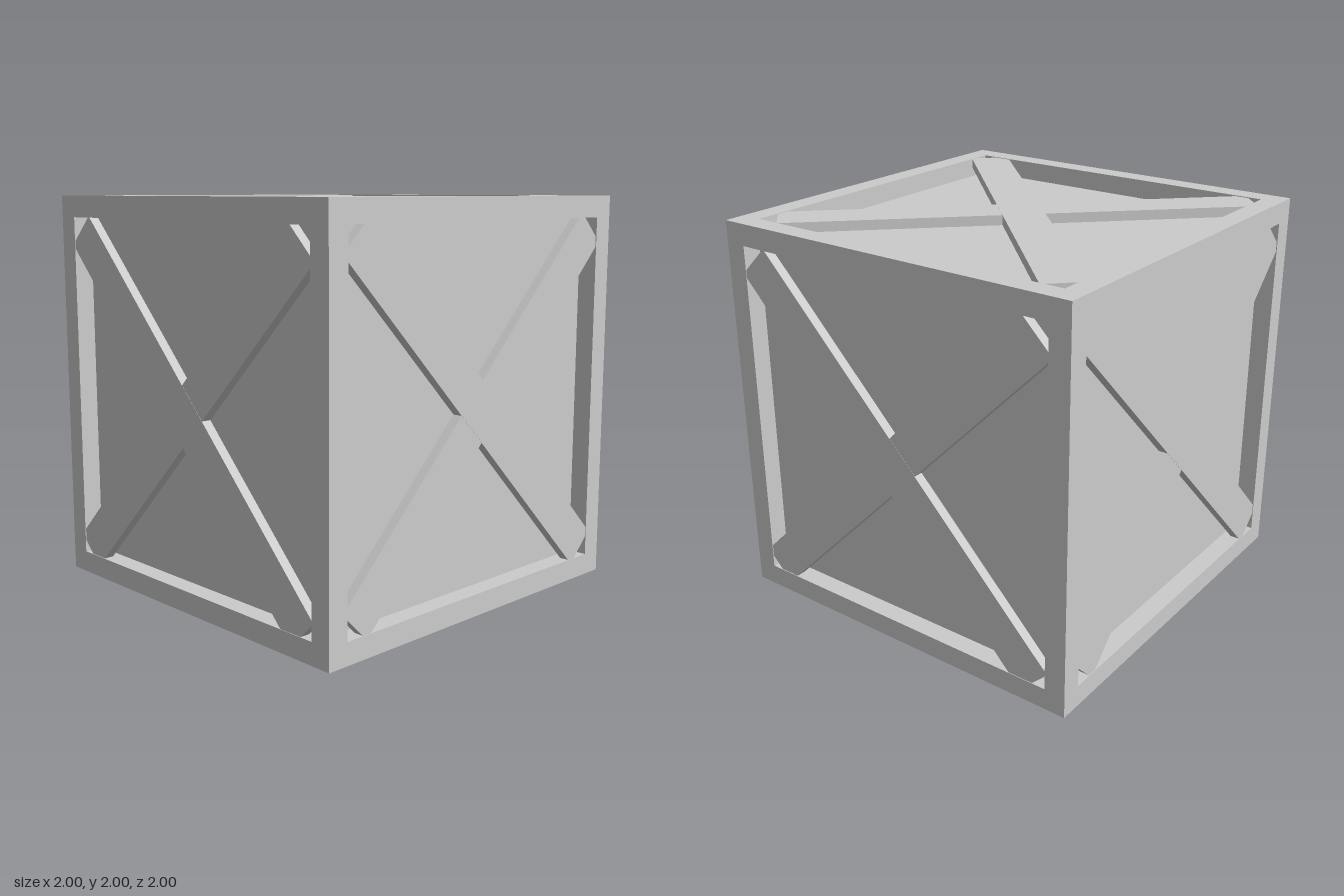
import * as THREE from 'three';

const SIZE = 2, BAR = 0.11, INNER = SIZE - 2 * BAR;
const SLAT = { length: 2.38, width: 0.212, thickness: 0.05, recess: 0.003 };
const material = new THREE.MeshStandardMaterial({ color: 0xcccccc });

function box(name, w, h, d, x = 0, y = 0, z = 0) {
  const mesh = new THREE.Mesh(new THREE.BoxGeometry(w, h, d), material);
  mesh.name = name;
  mesh.position.set(x, y, z);
  return mesh;
}

// Two crossed slats lying just behind the +z side of the frame
function crossBrace(name, dx, dy, tiltA, tiltB) {
  const brace = new THREE.Group();
  brace.name = name;
  const z = SIZE / 2 - SLAT.recess - SLAT.thickness / 2;
  [tiltA, tiltB].forEach((tilt, i) => {
    // a hair of depth between the slats keeps their faces apart
    const slat = box('slat', SLAT.length, SLAT.width, SLAT.thickness, dx, dy, z - i * 0.001);
    slat.rotation.z = THREE.MathUtils.degToRad(tilt);
    brace.add(slat);
  });
  return brace;
}

export function createModel() {
  const crate = new THREE.Group();
  crate.name = 'crate';
  const body = new THREE.Group();
  body.name = 'body';
  body.position.y = SIZE / 2;
  crate.add(body);

  // Recessed panels form a closed inner box
  body.add(box('innerPanels', 1.8, 1.8, 1.8));

  // Frame: four posts, with rails between them at top and bottom
  const frame = new THREE.Group();
  frame.name = 'frame';
  const e = (SIZE - BAR) / 2;
  for (const a of [-e, e]) {
    for (const b of [-e, e]) {
      frame.add(box('cornerPost', BAR, SIZE, BAR, a, 0, b));
      frame.add(box('crossRail', INNER, BAR, BAR, 0, a, b));
      frame.add(box('sideRail', BAR, BAR, INNER, a, b, 0));
    }
  }
  body.add(frame);

  // Cross braces: name, rotation about x and y, centre offset, slat tilts
  const q = Math.PI / 2;
  const sides = [
    ['frontBrace', 0, 0, -0.005, -0.03, -45.8, 45],
    ['backBrace', 0, 2 * q, -0.005, -0.03, -45.8, 45],
    ['leftBrace', 0, q, 0, 0, -45, 45],
    ['rightBrace', 0, -q, 0, 0, -45, 45],
    ['topBrace', -q, 0, -0.005, -0.02, -45, 44.2],
    ['bottomBrace', q, 0, -0.005, 0.02, -45, 44.2],
  ];
  for (const [name, rx, ry, dx, dy, a, b] of sides) {
    const brace = crossBrace(name, dx, dy, a, b);
    brace.rotation.set(rx, ry, 0);
    body.add(brace);
  }
  return crate;
}
